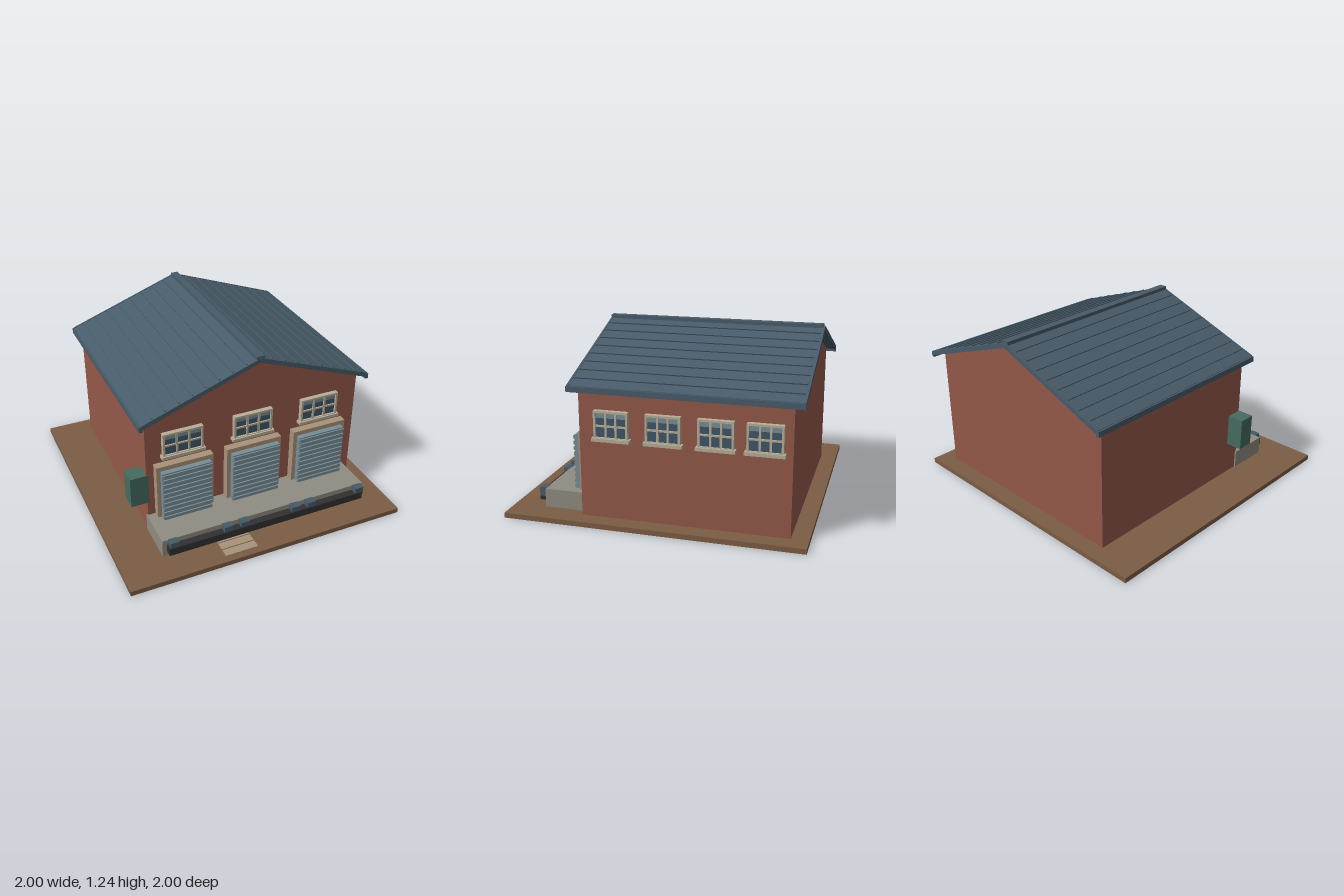
import * as THREE from 'three';

const mat = (name, color) => {
  const m = new THREE.MeshStandardMaterial({ color });
  m.name = name;
  return m;
};

export function createModel() {
  const model = new THREE.Group();
  model.name = 'warehouse';

  const brick = mat('brick', 0x945849);
  const earth = mat('earth', 0x7c5d45);
  const slate = mat('slate blue', 0x485b69);
  const concrete = mat('concrete', 0x908c82);
  const tan = mat('tan trim', 0xa8927a);
  const cream = mat('cream frame', 0xb9ae98);
  const steel = mat('shutter steel', 0x788d96);
  const glass = mat('glass', 0x3f5668);
  const rubber = mat('rubber', 0x303032);
  const green = mat('green', 0x456b61);

  const add = (parent, name, geometry, material) => {
    const mesh = new THREE.Mesh(geometry, material);
    mesh.name = name;
    parent.add(mesh);
    return mesh;
  };
  // Box given by its limits on each axis
  const box = (parent, name, material, x0, x1, y0, y1, z0, z1) => {
    const mesh = add(parent, name, new THREE.BoxGeometry(x1 - x0, y1 - y0, z1 - z0), material);
    mesh.position.set((x0 + x1) / 2, (y0 + y1) / 2, (z0 + z1) / 2);
    return mesh;
  };
  // Outline in x and y, extruded from z0 to z1
  const prism = (parent, name, material, points, z0, z1, holes = []) => {
    const shape = new THREE.Shape(points.map(p => new THREE.Vector2(...p)));
    holes.forEach(h => shape.holes.push(new THREE.Path(h.map(p => new THREE.Vector2(...p)))));
    const mesh = add(parent, name, new THREE.ExtrudeGeometry(shape, { depth: z1 - z0, bevelEnabled: false }), material);
    mesh.position.z = z0;
    return mesh;
  };

  // Ground and gabled walls
  box(model, 'ground', earth, -1, 1, 0, 0.035, -1, 1);
  prism(model, 'walls', brick, [
    [-0.69, 0.035], [0.885, 0.035], [0.885, 0.915], [0.1, 1.2], [-0.69, 0.915],
  ], -0.885, 0.49);

  // Roof: sheet, verge trims, seams, eaves and ridge cap
  const roof = new THREE.Group();
  roof.name = 'roof';
  model.add(roof);
  const ridgeX = 0.1, halfSpan = 0.83, ridgeY = 1.222, drop = 0.302;
  const roofOutline = (top, bottom) => [
    [ridgeX - halfSpan, ridgeY - drop + bottom], [ridgeX, ridgeY + bottom],
    [ridgeX + halfSpan, ridgeY - drop + bottom], [ridgeX + halfSpan, ridgeY - drop + top],
    [ridgeX, ridgeY + top], [ridgeX - halfSpan, ridgeY - drop + top],
  ];
  prism(roof, 'roofSheet', slate, roofOutline(0, -0.026), -0.945, 0.54);
  prism(roof, 'frontVerge', slate, roofOutline(0.003, -0.03), 0.535, 0.548);
  prism(roof, 'backVerge', slate, roofOutline(0.003, -0.03), -0.955, -0.942);
  const slope = Math.atan2(drop, halfSpan);
  for (const side of [-1, 1]) {
    for (let i = 1; i <= 8; i++) {
      const run = i * 0.0935;
      const seam = add(roof, 'roofSeam', new THREE.BoxGeometry(0.012, 0.012, 1.47), slate);
      seam.position.set(ridgeX + side * run, ridgeY - drop * run / halfSpan + 0.002, -0.2025);
      seam.rotation.z = -side * slope;
    }
    const x = ridgeX + side * 0.83;
    box(roof, 'eavesBoard', slate, x - 0.012, x + 0.012, 0.88, 0.917, -0.955, 0.55);
  }
  box(roof, 'ridgeCap', slate, 0.073, 0.127, 1.205, 1.236, -0.945, 0.545);

  // Window facing +z, its back on z = 0 and its centre at the origin
  const makeWindow = (w, h) => {
    const group = new THREE.Group();
    group.name = 'window';
    const x = w / 2, y = h / 2, t = 0.014;
    const rect = (a, b) => [[-a, -b], [a, -b], [a, b], [-a, b]];
    prism(group, 'windowFrame', cream, rect(x, y), 0, 0.034, [rect(x - t, y - t)]);
    box(group, 'windowGlass', glass, -x + t, x - t, -y + t, y - t, 0.012, 0.02);
    box(group, 'windowBlind', steel, -x + t, x - t, y - t - 0.034, y - t, 0.02, 0.023);
    for (const s of [-1, 1]) {
      const bx = s * (w - 2 * t) / 6;
      box(group, 'glazingBar', cream, bx - 0.007, bx + 0.007, -y + t, y - t, 0.02, 0.03);
    }
    box(group, 'glazingBar', cream, -x + t, x - t, -0.012, 0, 0.02, 0.029);
    box(group, 'windowSill', cream, -x - 0.012, x + 0.012, -y - 0.012, -y + 0.01, 0, 0.046);
    model.add(group);
    return group;
  };

  // Front bays: a window above each roller door
  for (const cx of [-0.434, 0.075, 0.583]) {
    makeWindow(0.285, 0.177).position.set(cx, 0.713, 0.49);
    const door = new THREE.Group();
    door.name = 'rollerDoor';
    model.add(door);
    prism(door, 'doorSurround', tan, [
      [cx - 0.204, 0.16], [cx - 0.176, 0.16], [cx - 0.176, 0.54], [cx + 0.176, 0.54],
      [cx + 0.176, 0.16], [cx + 0.204, 0.16], [cx + 0.204, 0.572], [cx - 0.204, 0.572],
    ], 0.49, 0.545);
    box(door, 'doorShutter', steel, cx - 0.176, cx + 0.176, 0.16, 0.54, 0.49, 0.583);
    for (let i = 0; i < 10; i++) {
      const y = 0.165 + i * 0.038;
      box(door, 'shutterSlat', steel, cx - 0.174, cx + 0.174, y, y + 0.024, 0.58, 0.593);
    }
  }

  // Windows along the left wall
  for (const z of [0.267, -0.075, -0.412, -0.717]) {
    const side = makeWindow(0.228, 0.188);
    side.position.set(0.885, 0.671, z);
    side.rotation.y = Math.PI / 2;
  }

  // Loading dock with bumper rail and pads
  box(model, 'dock', concrete, -0.7, 0.827, 0.035, 0.162, 0.48, 0.78);
  box(model, 'bumperRail', rubber, -0.67, 0.8, 0.07, 0.125, 0.78, 0.832);
  for (const x of [-0.628, -0.242, -0.118, 0.268, 0.39, 0.777]) {
    box(model, 'bumperPad', slate, x - 0.032, x + 0.032, 0.1, 0.164, 0.776, 0.828);
  }

  // Planks on the ground before the dock
  for (const z of [0.79, 0.857, 0.925]) {
    box(model, 'plank', tan, -0.32, -0.087, 0.035, 0.045, z - 0.03, z + 0.03);
  }

  // Utility cabinet on the right wall
  box(model, 'utilityCabinet', green, -0.805, -0.678, 0.27, 0.495, 0.377, 0.495);

  return model;
}
